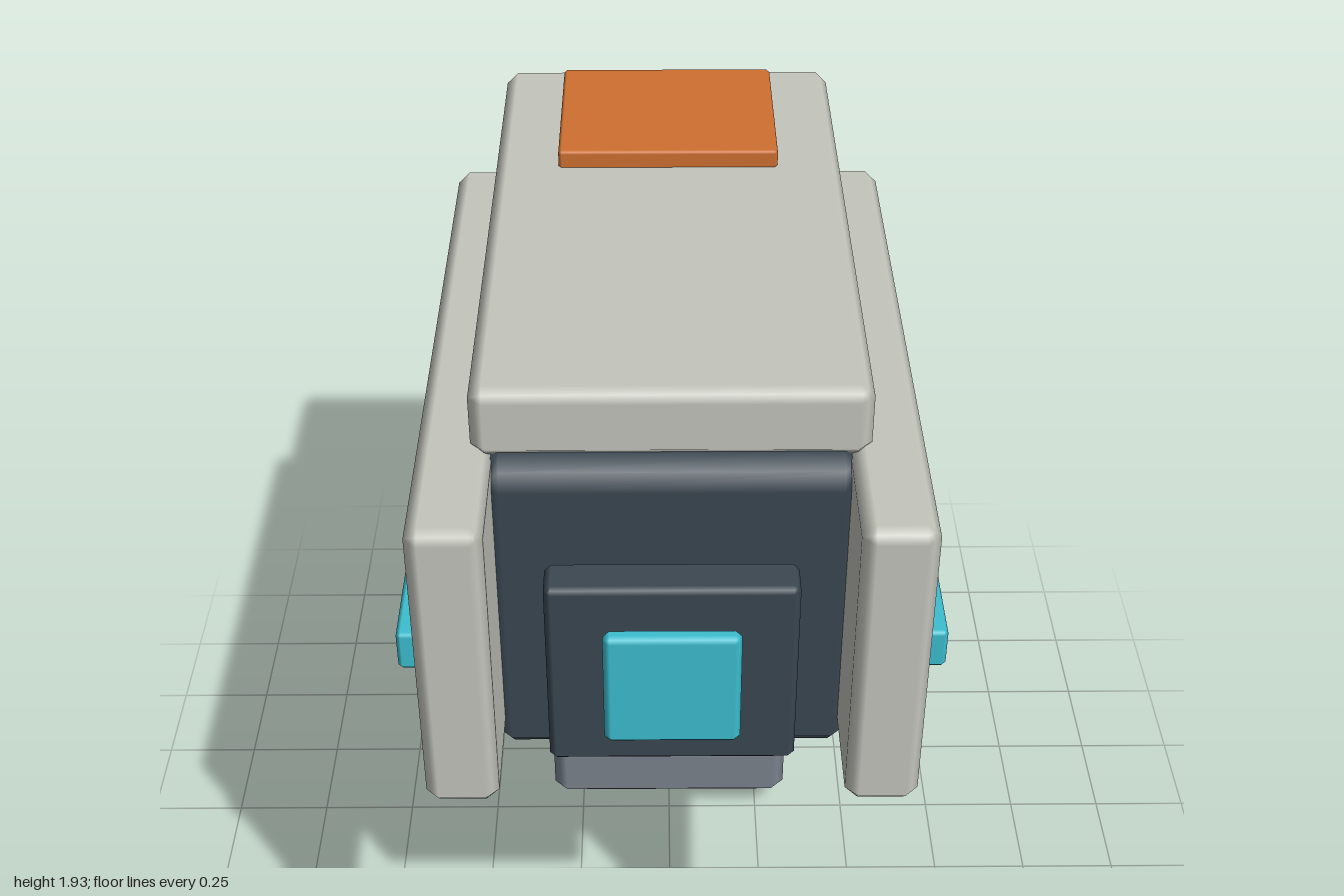
import * as THREE from 'three';

// Box between two corners with a single chamfer on every edge and softened normals
function chamferBox(min, max, bevel) {
  const half = [0, 1, 2].map(i => (max[i] - min[i]) / 2);
  const centre = [0, 1, 2].map(i => (max[i] + min[i]) / 2);
  const geometry = new THREE.BoxGeometry(1, 1, 1, 3, 3, 3);
  const { position, normal } = geometry.attributes;
  const n = new THREE.Vector3();
  for (let v = 0; v < position.count; v++) {
    const p = [position.getX(v), position.getY(v), position.getZ(v)];
    const outer = p.map(c => Math.abs(c) > 0.4);
    const count = outer.filter(Boolean).length;
    // Face points stay out, edge points sit mid-chamfer, corner points mid-triangle
    const inset = bevel * (1 - 1 / count);
    const q = p.map((c, i) => centre[i] + Math.sign(c) * (half[i] - (outer[i] ? inset : bevel)));
    position.setXYZ(v, ...q);
    n.set(...p.map((c, i) => (outer[i] ? Math.sign(c) : 0))).normalize();
    normal.setXYZ(v, n.x, n.y, n.z);
  }
  return geometry;
}

export function createModel() {
  const model = new THREE.Group();
  model.name = 'model';

  const material = (name, color) => {
    const m = new THREE.MeshStandardMaterial({ color });
    m.name = name;
    return m;
  };
  const shell = material('paleShell', 0xc4c6bd);
  const dark = material('darkSlate', 0x3b4751);
  const grey = material('midGrey', 0x7a838e);
  const orange = material('orange', 0xcf7030);
  const cyan = material('cyan', 0x3cbfd0);

  const add = (name, mat, min, max, bevel) => {
    const mesh = new THREE.Mesh(chamferBox(min, max, bevel), mat);
    mesh.name = name;
    model.add(mesh);
  };

  // Main housing and roof
  add('body', dark, [-0.44, 0.89, -1], [0.44, 1.725, 0.75], 0.065);
  add('roof', shell, [-0.435, 1.71, -0.94], [0.435, 1.885, 0.7], 0.03);
  add('roofPanel', orange, [-0.275, 1.88, -0.835], [0.275, 1.93, -0.34], 0.008);

  // Side plates with light strips
  for (const s of [1, -1]) {
    const side = s > 0 ? 'left' : 'right';
    const mirrored = (name, mat, x0, x1, y0, y1, z0, z1, bevel) =>
      add(side + name, mat, [Math.min(s * x0, s * x1), y0, z0], [Math.max(s * x0, s * x1), y1, z1], bevel);
    mirrored('SidePlate', shell, 0.39, 0.555, 0.97, 1.735, -0.645, 1, 0.03);
    mirrored('LightStrip', cyan, 0.55, 0.595, 1.33, 1.43, -0.15, 0.945, 0.01);
  }

  // Front frame and lens
  add('frontFrame', dark, [-0.275, 1.055, 0.835], [0.275, 1.545, 0.94], 0.015);
  add('lens', cyan, [-0.15, 1.15, 0.945], [0.15, 1.45, 0.99], 0.015);

  // Separate pedestal with a foot and three toes
  add('neck', dark, [-0.19, 0.22, -0.505], [0.19, 0.54, -0.125], 0.015);
  add('foot', grey, [-0.33, 0.05, -0.64], [0.33, 0.24, 0.015], 0.035);
  for (const x of [-0.22, 0, 0.22]) {
    add('toe', orange, [x - 0.048, 0, -0.615], [x + 0.048, 0.06, -0.56], 0.008);
  }

  return model;
}
